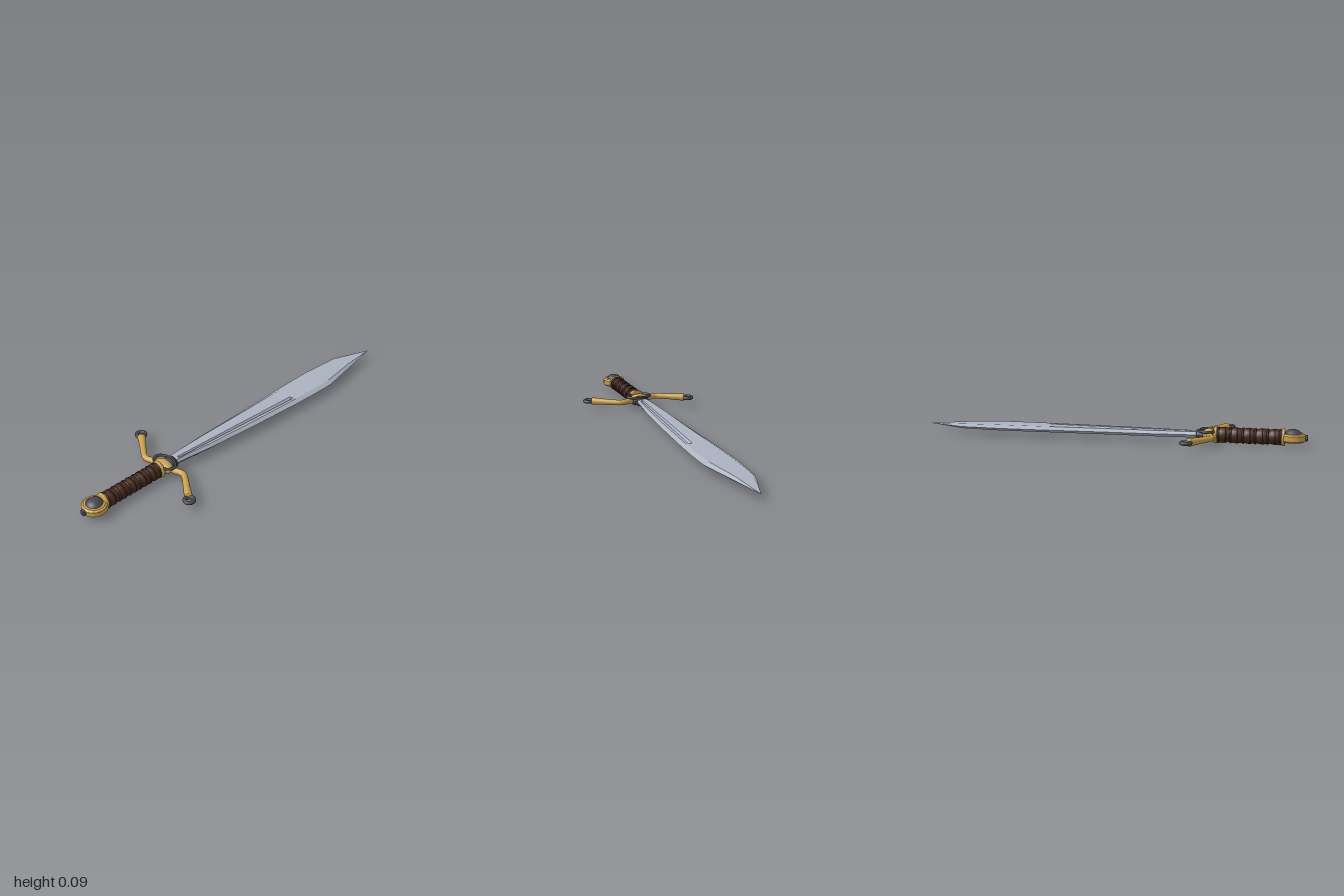
import * as THREE from 'three';

const mat = (name, color, side = THREE.FrontSide) => {
  const m = new THREE.MeshStandardMaterial({ color, side });
  m.name = name;
  return m;
};
const Y = 0.044; // height of the sword's axis

export function createModel() {
  const gold = mat('gold', 0xc9a04c);
  const iron = mat('dark iron', 0x46474d);
  const leather = mat('brown leather', 0x4a2a1e);
  const wrap = mat('dark cord', 0x2e2523);
  const steel = mat('blade steel', 0xabb2c0);
  const root = new THREE.Group();
  root.name = 'sword';

  const add = (name, geo, material, x, y, z, parent = root) => {
    const mesh = new THREE.Mesh(geo, material);
    mesh.name = name;
    mesh.position.set(x, y, z);
    parent.add(mesh);
    return mesh;
  };
  // Lathe profile of [radius, z] pairs turned about the sword's long axis
  const turned = (pts, seg = 20) =>
    new THREE.LatheGeometry(pts.map(p => new THREE.Vector2(p[0], p[1])), seg).rotateX(Math.PI / 2);

  // Blade: cross-sections with bevelled edges and a narrow V groove
  const stations = [ // z, left edge, right edge, half thickness
    [0.47, -0.034, 0.03, 0.015], [0.43, -0.036, 0.03, 0.015], [0.42, -0.037, 0.031, 0.015],
    [0.24, -0.05, 0.055, 0.015], [-0.03, -0.056, 0.078, 0.015], [-0.33, -0.066, 0.097, 0.015],
    [-0.335, -0.066, 0.097, 0.015], [-0.46, -0.069, 0.102, 0.015], [-0.59, -0.07, 0.103, 0.015],
    [-0.8, -0.055, 0.063, 0.012], [-1, 0.024, 0.024, 0.0005],
  ];
  const rings = stations.map(([z, l, r, t]) => {
    const k = (0.42 - z) / 0.75, grooved = k > -0.001 && k < 1.001;
    const w = r - l;
    const kc = Math.min(Math.max(k, 0), 1);
    const gx = z < -0.5 ? (l + r) / 2 + w * 0.2 : 0.011 + 0.041 * kc;
    const gw = Math.min(0.006 + 0.004 * kc, w * 0.1);
    const depth = grooved ? 0.011 : 0;
    const top = [[l + w * 0.16, t], [gx - gw, t], [gx, t - depth], [gx + gw, t], [r - w * 0.13, t]];
    const under = top.map(([x, y]) => [x, -y]).reverse();
    return [[l, 0], ...top, [r, 0], ...under].map(([x, y]) => [x, y + Y, z]);
  });
  const pos = [];
  const n = rings[0].length;
  for (let i = 0; i < rings.length - 1; i++) {
    for (let j = 0; j < n; j++) {
      const a = rings[i][j], b = rings[i][(j + 1) % n];
      const c = rings[i + 1][(j + 1) % n], d = rings[i + 1][j];
      pos.push(...a, ...b, ...c, ...a, ...c, ...d);
    }
  }
  const bladeGeo = new THREE.BufferGeometry();
  bladeGeo.setAttribute('position', new THREE.Float32BufferAttribute(pos, 3));
  bladeGeo.computeVertexNormals();
  add('blade', bladeGeo, steel, 0, 0, 0);

  // Grip: leather core swelling between cord bindings
  const gripStart = 0.55, gripEnd = 0.875, bands = 5;
  const pitch = (gripEnd - gripStart) / bands;
  const profile = [];
  for (let i = 0; i <= bands * 6; i++) {
    const u = i / 6;
    profile.push([0.034 + 0.006 * Math.abs(Math.sin(Math.PI * u)), gripStart + u * pitch]);
  }
  add('grip', turned(profile), leather, 0, Y, 0);
  for (let i = 0; i <= bands; i++) {
    const z = gripStart + 0.01 + i * (gripEnd - gripStart - 0.02) / bands;
    add('gripBinding', new THREE.TorusGeometry(0.036, 0.0055, 8, 24), wrap, 0, Y, z);
    if (i < bands) {
      const cord = add('gripCord', new THREE.TorusGeometry(0.0385, 0.003, 6, 24), wrap, 0, Y, z + pitch / 2);
      cord.rotation.y = 0.12;
    }
  }

  // Gold collars at both ends of the grip
  for (const z of [0.545, 0.88]) {
    add('collar', turned([[0, -0.009], [0.04, -0.009], [0.044, -0.005], [0.044, 0.005], [0.04, 0.009], [0, 0.009]]),
      gold, 0, Y, z);
  }

  // Pommel: flat bevelled disc, dark domed stud and end nut
  const disc = new THREE.LatheGeometry([[0, -0.021], [0.053, -0.021], [0.062, -0.013], [0.062, 0.013],
    [0.053, 0.021], [0, 0.021]].map(p => new THREE.Vector2(...p)), 16).toNonIndexed();
  disc.computeVertexNormals();
  add('pommel', disc, gold, 0, Y, 0.927);
  const dome = [[0.041, 0], [0.041, 0.004], [0.035, 0.007], [0.031, 0.014], [0.018, 0.02], [0, 0.022]];
  add('pommelStud', new THREE.LatheGeometry(dome.map(p => new THREE.Vector2(...p)), 20),
    iron, 0, Y + 0.02, 0.927);
  add('pommelNut', turned([[0, -0.02], [0.016, -0.02], [0.016, 0.008], [0.013, 0.011], [0, 0.011]].map(p => [p[0], p[1]]), 12),
    iron, 0, Y, 0.988);

  // Cross guard: two mirrored-by-rotation arms, each ending in an iron ring
  const armPath = new THREE.CatmullRomCurve3([[0, 0], [0.06, -0.012], [0.11, -0.026], [0.15, -0.005],
    [0.2, 0.03], [0.252, 0.064]].map(([x, z]) => new THREE.Vector3(x, 0, z)));
  const armRadius = u => 0.018 - 0.003 * Math.sin(Math.PI * u) + 0.003 * u ** 4;
  const makeArm = () => {
    const segs = 24, sides = 14;
    const geo = new THREE.TubeGeometry(armPath, segs, 1, sides);
    const p = geo.attributes.position, v = new THREE.Vector3();
    for (let i = 0; i <= segs; i++) {
      const centre = armPath.getPointAt(i / segs);
      for (let j = 0; j <= sides; j++) {
        const k = i * (sides + 1) + j;
        v.fromBufferAttribute(p, k).sub(centre).multiplyScalar(armRadius(i / segs)).add(centre);
        p.setXYZ(k, v.x, v.y, v.z);
      }
    }
    return geo;
  };
  for (const turn of [0, Math.PI]) {
    const arm = new THREE.Group();
    arm.name = turn ? 'rightGuardArm' : 'leftGuardArm';
    arm.position.set(0, Y, 0.51);
    arm.rotation.y = turn;
    add('guardArm', makeArm(), gold, 0, 0, 0, arm);
    const tip = add('guardArmTip', new THREE.SphereGeometry(0.021, 14, 10), gold, 0.25, 0, 0.063, arm);
    tip.scale.set(0.4, 0.98, 1);
    tip.rotation.y = -0.57;
    add('guardRing', new THREE.TorusGeometry(0.0225, 0.0095, 10, 20).rotateX(Math.PI / 2),
      iron, 0.27, 0, 0.076, arm);
    root.add(arm);
  }

  // Guard centre: gold boss, iron oval ring above it and socket around the blade
  const boss = add('guardBoss', new THREE.SphereGeometry(1, 20, 14), gold, 0, Y, 0.51);
  boss.scale.set(0.058, 0.03, 0.036);
  const oval = add('guardOval', new THREE.TorusGeometry(0.064, 0.0075, 10, 32).rotateX(Math.PI / 2),
    iron, 0, Y + 0.02, 0.505);
  oval.scale.z = 0.65;
  const socket = add('bladeSocket', turned([[0, -0.03], [0.036, -0.03], [0.042, -0.024], [0.038, -0.012],
    [0.042, 0], [0.044, 0.024], [0, 0.03]]), iron, 0, Y, 0.48);
  socket.scale.y = 0.6;
  return root;
}
